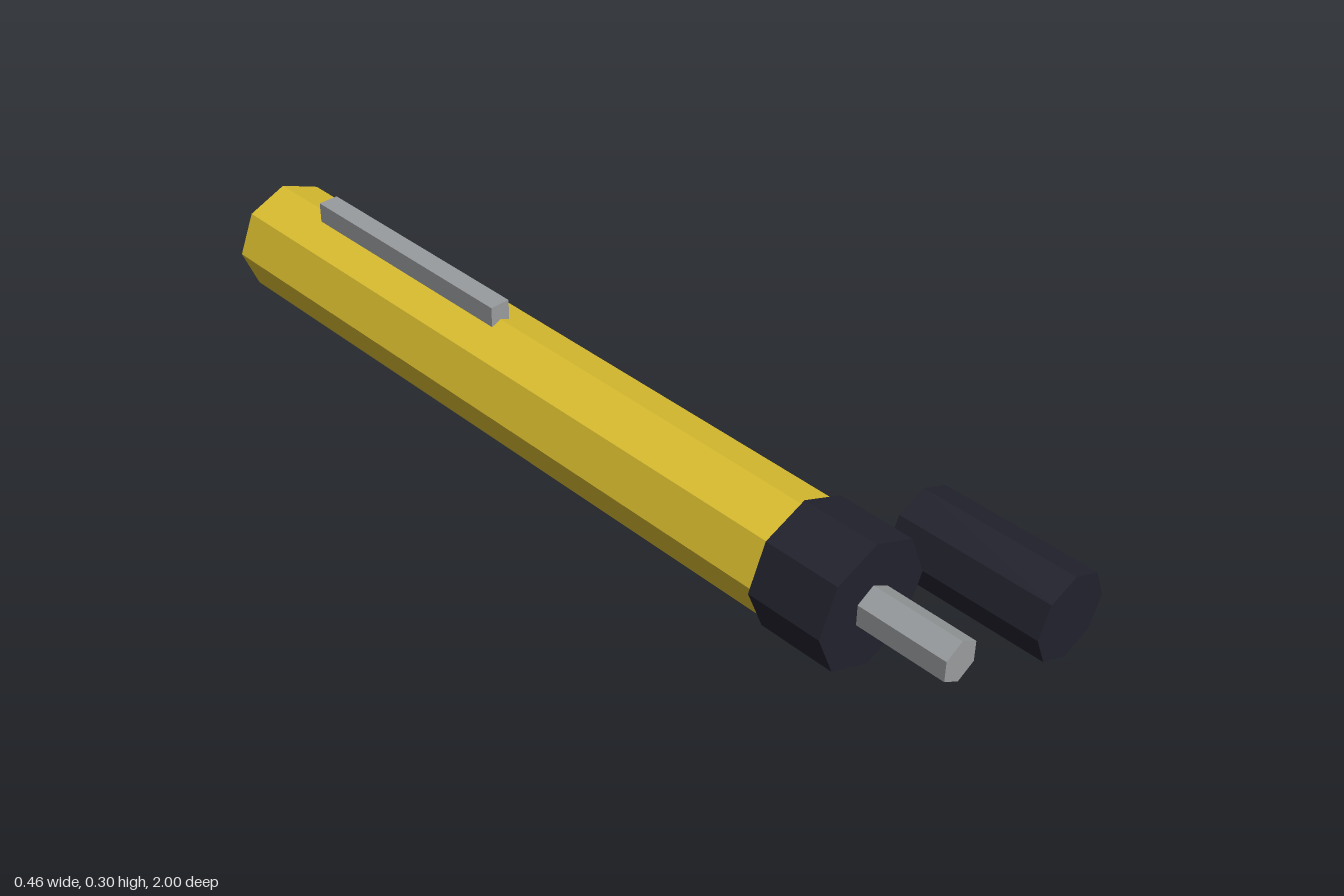
import * as THREE from 'three';

export function createModel() {
  const model = new THREE.Group();
  const material = (name, color) => {
    const m = new THREE.MeshStandardMaterial({ color, flatShading: true });
    m.name = name;
    return m;
  };
  const yellow = material('yellow', 0xdcbf30);
  const black = material('nearBlack', 0x22222e);
  const grey = material('grey', 0x999c9e);

  const axisX = -0.092, axisY = 0.138;

  // Faceted rod lying along z, with a corner pointing up
  function rod(name, mat, radius, sides, x, z0, z1) {
    const geometry = new THREE.CylinderGeometry(radius, radius, z1 - z0, sides);
    geometry.rotateX(Math.PI / 2);
    const mesh = new THREE.Mesh(geometry, mat);
    mesh.name = name;
    mesh.position.set(x, axisY, (z0 + z1) / 2);
    model.add(mesh);
  }

  rod('barrel', yellow, 0.125, 8, axisX, -1, 0.572);
  rod('collar', black, 0.137, 8, axisX, 0.572, 0.742);
  rod('tip', grey, 0.0455, 6, axisX, 0.742, 0.942);

  // Loose cap lying beside the tip
  rod('cap', black, 0.0915, 8, 0.137, 0.657, 1);

  // Clip along the top of the barrel
  const clip = new THREE.Mesh(new THREE.BoxGeometry(0.045, 0.045, 0.571), grey);
  clip.name = 'clip';
  clip.position.set(axisX, 0.2765, -0.543);
  model.add(clip);

  return model;
}
